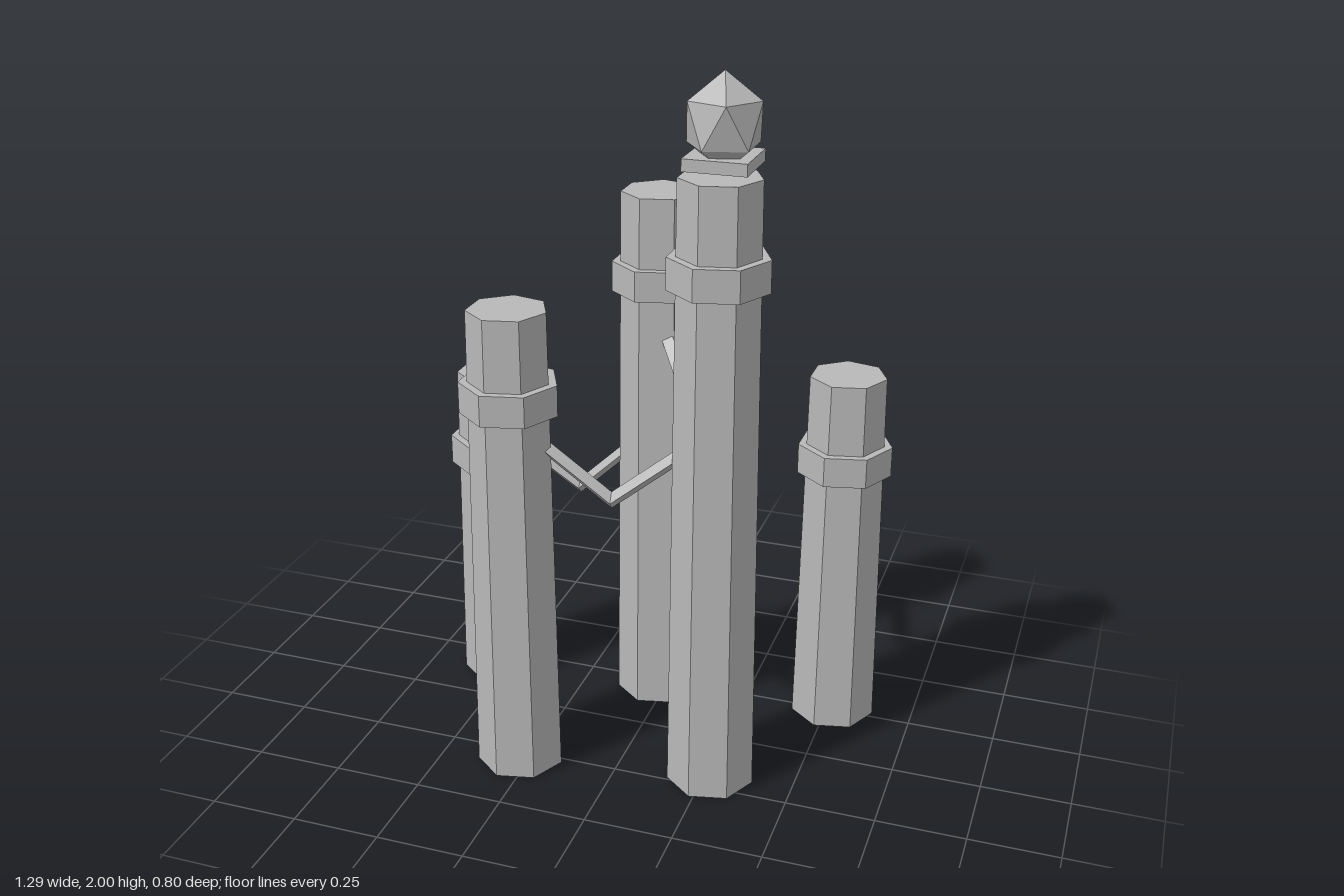
import * as THREE from 'three';
import { ConvexGeometry } from 'three/addons/geometries/ConvexGeometry.js';

const stone = new THREE.MeshStandardMaterial({ color: 0xb8b8b8, flatShading: true });
stone.name = 'grey stone';

function mesh(name, geometry, x = 0, y = 0, z = 0) {
  const m = new THREE.Mesh(geometry, stone);
  m.name = name;
  m.position.set(x, y, z);
  return m;
}

// Seven-sided prism with one corner pointing to +x
const prism = (rTop, rBottom, h) =>
  new THREE.CylinderGeometry(rTop, rBottom, h, 7).rotateY(Math.PI / 2);

// Tapered pillar with a collar band near its top
function pillar(name, x, z, height, collarY) {
  const g = new THREE.Group();
  g.name = name;
  g.position.set(x, 0, z);
  g.add(mesh('shaft', prism(0.109, 0.123, height), 0, height / 2, 0));
  g.add(mesh('collar', prism(0.135, 0.135, 0.087), 0, collarY, 0));
  return g;
}

// Sagging two-part strut with a diamond cross-section, mitred at its middle
function strut(name, points) {
  const p = points.map((a) => new THREE.Vector3(...a));
  const across = p[2].clone().sub(p[0]).setY(0).normalize().cross(new THREE.Vector3(0, 1, 0));
  const rings = p.map((c) => [0, 1, 2, 3].map((i) => {
    const a = i * Math.PI / 2;
    const v = c.clone().addScaledVector(across, Math.cos(a) * 0.026);
    v.y += Math.sin(a) * 0.024;
    return v;
  }));
  const tris = [];
  for (let s = 0; s < 2; s++) {
    for (let i = 0; i < 4; i++) {
      const j = (i + 1) % 4;
      const [a, b, c, d] = [rings[s][i], rings[s][j], rings[s + 1][j], rings[s + 1][i]];
      tris.push(a, c, b, a, d, c);
    }
  }
  // end caps
  const [r0, , r2] = rings;
  tris.push(r0[0], r0[1], r0[2], r0[0], r0[2], r0[3]);
  tris.push(r2[0], r2[2], r2[1], r2[0], r2[3], r2[2]);
  const geo = new THREE.BufferGeometry().setFromPoints(tris);
  geo.computeVertexNormals();
  return mesh(name, geo);
}

// Icosahedron standing on a vertex, stretched upwards
function gemGeometry(r, ry) {
  const pts = [new THREE.Vector3(0, ry, 0), new THREE.Vector3(0, -ry, 0)];
  for (let i = 0; i < 5; i++) {
    const a = i * Math.PI * 0.4;
    const x = Math.cos(a) * 0.894 * r, z = Math.sin(a) * 0.894 * r;
    pts.push(new THREE.Vector3(x, 0.447 * ry, z), new THREE.Vector3(-x, -0.447 * ry, z));
  }
  return new ConvexGeometry(pts);
}

export function createModel() {
  const model = new THREE.Group();
  model.name = 'pillarCluster';

  // Pillars: x, z, height, collar height
  model.add(
    pillar('backRightPillar', -0.525, -0.186, 0.995, 0.75),
    pillar('frontRightPillar', -0.28, 0.268, 1.365, 1.124),
    pillar('backMiddlePillar', -0.028, -0.229, 1.573, 1.33),
    pillar('tallPillar', 0.264, 0.187, 1.74, 1.496),
    pillar('backLeftPillar', 0.513, -0.27, 1.08, 0.833),
  );

  // Struts between neighbouring pillars
  model.add(
    strut('backStrut', [[-0.435, 0.76, -0.205], [-0.275, 0.64, -0.23], [-0.118, 0.79, -0.229]]),
    strut('frontStrut', [[-0.19, 0.99, 0.262], [-0.005, 0.85, 0.246], [0.175, 0.99, 0.205]]),
    strut('middleStrut', [[0.026, 1.175, -0.155], [0.14, 1.035, -0.02], [0.218, 1.175, 0.109]]),
  );

  // Finial on the tallest pillar
  model.add(mesh('finialPlate', new THREE.BoxGeometry(0.166, 0.032, 0.166), 0.27, 1.781, 0.187));
  model.add(mesh('finialGem', gemGeometry(0.107, 0.125), 0.27, 1.875, 0.187));

  return model;
}
